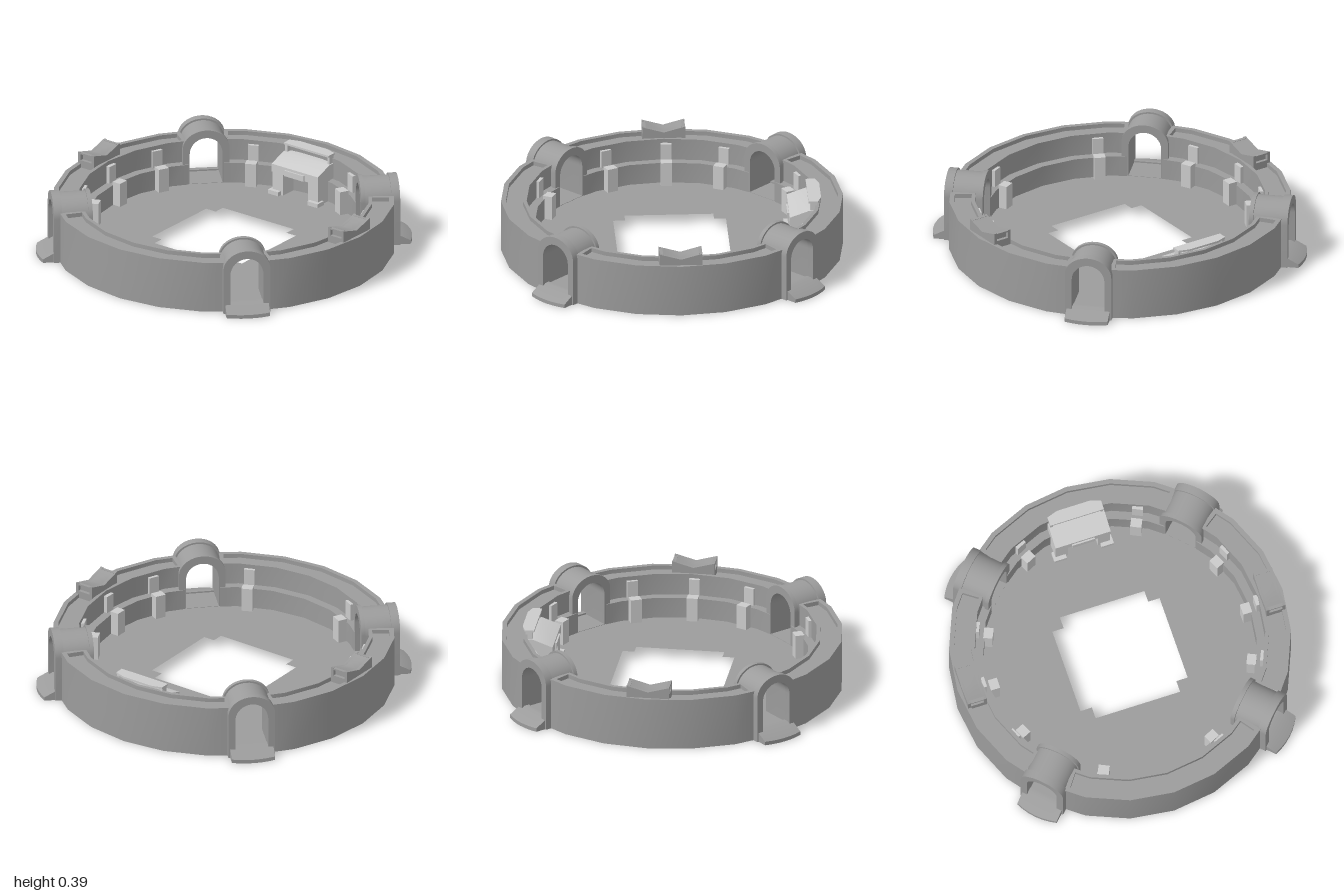
import * as THREE from 'three';
import { toCreasedNormals } from 'three/addons/utils/BufferGeometryUtils.js';

const stone = new THREE.MeshStandardMaterial({ color: 0x9c9c9c, side: THREE.DoubleSide });
const pale = new THREE.MeshStandardMaterial({ color: 0xcccccc, side: THREE.DoubleSide });
const rad = THREE.MathUtils.degToRad;
const FLOOR = 0.055, TOP = 0.31;

function add(parent, geometry, name, material, x = 0, y = 0, z = 0) {
  const mesh = new THREE.Mesh(geometry, material);
  mesh.name = name;
  mesh.position.set(x, y, z);
  parent.add(mesh);
  return mesh;
}

function group(parent, name, degrees = 0) {
  const g = new THREE.Group();
  g.name = name;
  g.rotation.y = rad(degrees);
  parent.add(g);
  return g;
}

// box given by its minimum and maximum corners
function box(parent, name, material, [x0, y0, z0], [x1, y1, z1]) {
  return add(parent, new THREE.BoxGeometry(x1 - x0, y1 - y0, z1 - z0), name, material,
    (x0 + x1) / 2, (y0 + y1) / 2, (z0 + z1) / 2);
}

function extrude(shape, depth, steps = 1) {
  const g = new THREE.ExtrudeGeometry(shape, { depth, steps, bevelEnabled: false, curveSegments: 10 });
  return toCreasedNormals(g, rad(35));
}

function polygon(points) {
  return new THREE.Shape(points.map(([x, y]) => new THREE.Vector2(x, y)));
}

// radius factor of a 24-sided ring at an angle in degrees
function facet(a) {
  const m = ((a % 15) + 15) % 15;
  return Math.cos(rad(7.5)) / Math.cos(rad(m - 7.5));
}

// quarter wall: profile swept between two gates, walkway channel closed near its ends
function wallGeometry() {
  const profile = channel => [
    [1, 0], [1, TOP], [0.972, TOP], [0.972, TOP - channel], [0.872, TOP - channel], [0.872, TOP],
    [0.85, TOP], [0.85, 0.18], [0.8, 0.18], [0.8, FLOOR]];
  const stations = [[-37.5, 0], [-36, 0], [-35.99, 0.025], [-30, 0.025], [-15, 0.025], [0, 0.025],
    [15, 0.025], [30, 0.025], [35.99, 0.025], [36, 0], [37.5, 0]];
  const pos = [], index = [];
  stations.forEach(([a, channel], s) => {
    const pts = profile(channel), n = pts.length, f = facet(a);
    pts.forEach(([r, y], i) => {
      pos.push(r * f * Math.sin(rad(a)), y, r * f * Math.cos(rad(a)));
      if (s + 1 < stations.length && i + 1 < n) {
        const p = s * n + i, q = p + n;
        index.push(p, q, q + 1, p, q + 1, p + 1);
      }
    });
  });
  const g = new THREE.BufferGeometry();
  g.setAttribute('position', new THREE.Float32BufferAttribute(pos, 3));
  g.setIndex(index);
  return toCreasedNormals(g, rad(35));
}

// upside-down U with a slightly flattened crown
function archShape(R, crown) {
  const r = 0.097, spring = 0.245, rise = 0.115;
  const s = new THREE.Shape();
  s.moveTo(R, 0);
  s.lineTo(R, crown - rise);
  s.absellipse(0, crown - rise, R, rise, 0, Math.PI, false);
  s.lineTo(-R, 0);
  s.lineTo(-r, 0);
  s.lineTo(-r, spring);
  s.absarc(0, spring, r, Math.PI, 0, true);
  s.lineTo(r, 0);
  s.closePath();
  return s;
}

// sloped ramp with a bowed outer edge
function rampGeometry() {
  const half = 0.128;
  const g = extrude(polygon([[0.97, 0], [1.083, 0], [1.083, 0.022], [1.0, 0.066], [0.97, 0.066]]), 2 * half, 6);
  g.rotateY(-Math.PI / 2);
  g.translate(half, 0, 0);
  const p = g.attributes.position;
  for (let i = 0; i < p.count; i++) {
    if (p.getZ(i) > 1.05) p.setZ(i, p.getZ(i) + 0.022 * (1 - (p.getX(i) / half) ** 2));
  }
  return g;
}

function addGate(parent, degrees) {
  const gate = group(parent, 'gate', degrees);
  add(gate, extrude(archShape(0.13, 0.38), 0.17), 'gateTunnel', stone, 0, 0, 0.81);
  add(gate, extrude(archShape(0.138, 0.39), 0.025), 'innerGateFrame', stone, 0, 0, 0.79);
  add(gate, extrude(archShape(0.138, 0.39), 0.05), 'outerGateFrame', stone, 0, 0, 0.97);
  box(gate, 'gateFloor', stone, [-0.1, 0.04, 0.79], [0.1, FLOOR + 0.002, 0.98]);
  add(gate, rampGeometry(), 'gateRamp', stone);
}

// V-topped block on the walkway with recessed ends
function addVBlock(parent, degrees) {
  const g = group(parent, 'vBlock', degrees);
  const vee = w => extrude(polygon([[-w, 0.285], [w, 0.285], [w, 0.345 + 0.28 * w], [0, 0.345], [-w, 0.345 + 0.28 * w]]), 1);
  [[0.125, 0.86, 0.018], [0.105, 0.878, 0.08], [0.125, 0.958, 0.018]].forEach(([w, z, depth]) => {
    add(g, vee(w), 'vBlockLayer', stone, 0, 0, z).scale.z = depth;
  });
  for (const s of [-1, 1]) {
    box(g, 'vBlockEndSill', stone, [s * 0.115 - 0.01, 0.285, 0.87], [s * 0.115 + 0.01, 0.33, 0.965]);
    box(g, 'vBlockEndLintel', stone, [s * 0.115 - 0.01, 0.367, 0.87], [s * 0.115 + 0.01, 0.376, 0.965]);
  }
}

// stand on the left side: sloped table on legs and a canopy behind it
function addStand(parent) {
  const stand = group(parent, 'stand');
  const top = extrude(polygon([[0.68, 0.19], [0.84, 0.19], [0.84, 0.28], [0.79, 0.28], [0.68, 0.24]]), 0.34);
  add(stand, top, 'tableTop', pale, 0, 0, -0.17);
  box(stand, 'tableFrontLedge', pale, [0.67, 0.19, -0.07], [0.69, 0.225, 0.07]);
  for (const s of [-1, 1]) {
    box(stand, 'tableLeg', pale, [0.685, 0, s * 0.13 - 0.038], [0.8, 0.2, s * 0.13 + 0.038]);
    box(stand, 'tableFoot', pale, [0.66, 0, s * 0.145 - 0.038], [0.72, 0.08, s * 0.145 + 0.038]);
    box(stand, 'canopyPost', pale, [0.8, 0.18, s * 0.155 - 0.008], [0.84, 0.33, s * 0.155 + 0.008]);
  }
  const canopy = polygon([[0.79, -0.165], [0.845, -0.165], [0.866, -0.1], [0.866, 0.1], [0.845, 0.165], [0.79, 0.165]]);
  const roof = extrude(canopy, 0.012);
  roof.rotateX(-Math.PI / 2);
  add(stand, roof, 'canopyRoof', pale, 0, 0.326, 0);
}

export function createModel() {
  const model = new THREE.Group();
  model.name = 'arena';

  // floor disc with a notched square opening
  const disc = polygon(Array.from({ length: 24 }, (_, i) =>
    [0.85 * Math.cos(rad(i * 15)), 0.85 * Math.sin(rad(i * 15))]));
  const a = 0.33, b = 0.26;
  disc.holes.push(polygon([[a, b], [b, b], [b, a], [-b, a], [-b, b], [-a, b],
    [-a, -b], [-b, -b], [-b, -a], [b, -a], [b, -b], [a, -b]]));
  const floor = new THREE.ShapeGeometry(disc);
  floor.rotateX(-Math.PI / 2);
  add(model, floor, 'floor', stone, 0, FLOOR, 0);

  // four wall quarters and four diagonal gates
  const wall = wallGeometry();
  for (let q = 0; q < 4; q++) {
    add(model, wall, 'wall', stone).rotation.y = q * Math.PI / 2;
    addGate(model, 45 + q * 90);
  }

  // lower posts on the floor and pilasters on the upper tier
  for (const angle of [-0.7, 24.5, 64.5, 115.5, 155.5, 179.3, 204.5, 244.5, 295.5, 335.5]) {
    const post = group(model, 'post', angle);
    box(post, 'lowerPost', pale, [-0.033, 0, 0.745], [0.033, 0.2, 0.8]);
    box(post, 'postFooting', pale, [-0.033, 0, 0.8], [0.033, 0.17, 0.835]);
    box(post, 'upperPilaster', pale, [-0.032, 0.18, 0.825], [0.032, 0.285, 0.852]);
  }

  addVBlock(model, 0);
  addVBlock(model, 180);
  addStand(model);
  return model;
}
